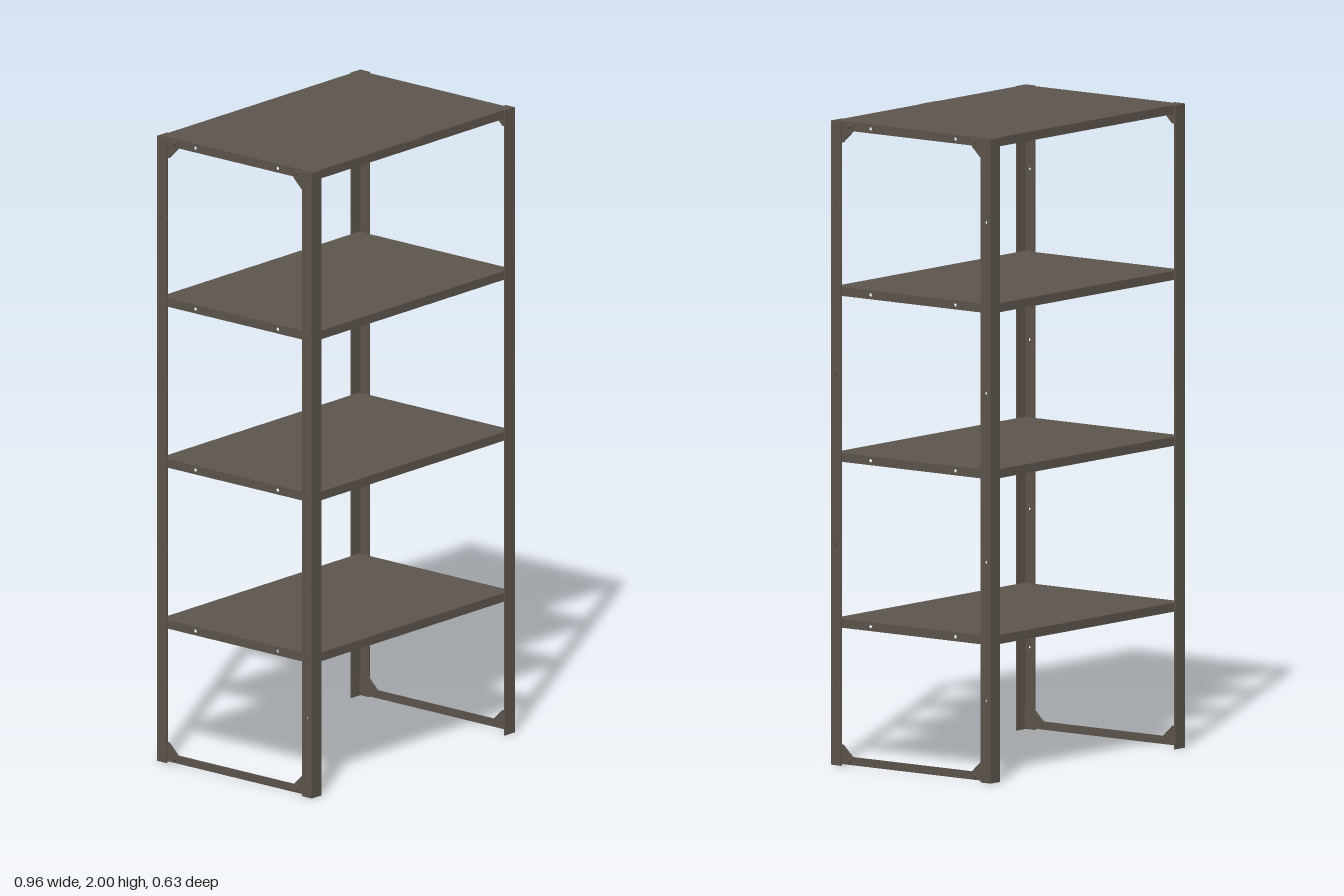
import * as THREE from 'three';

const steel = new THREE.MeshStandardMaterial({ color: 0x5e564d });
steel.name = 'bronze grey steel';

const T = 0.005;                               // sheet thickness
const X = 0.477, Z = 0.314;                    // outer faces of the posts
const SHELVES = [2, 1.485, 0.97, 0.455];       // top surface of each shelf
const HOLES = [1.74, 1.21, 0.685, 0.255];      // free holes in the posts

function add(parent, name, geometry, x = 0, y = 0, z = 0) {
  const mesh = new THREE.Mesh(geometry, steel);
  mesh.name = name;
  mesh.position.set(x, y, z);
  parent.add(mesh);
  return mesh;
}

const box = (w, h, d) => new THREE.BoxGeometry(w, h, d);

// Plate in the z-y plane, with round holes, growing towards +x
function sidePlate(points, holes = []) {
  const shape = new THREE.Shape(points.map(([z, y]) => new THREE.Vector2(-z, y)));
  for (const [z, y] of holes) {
    const hole = new THREE.Path();
    hole.absarc(-z, y, 0.005, 0, Math.PI * 2, true);
    shape.holes.push(hole);
  }
  return new THREE.ExtrudeGeometry(shape, { depth: T, bevelEnabled: false, curveSegments: 8 })
    .rotateY(Math.PI / 2);
}

function bolt(parent, y, z) {
  const head = new THREE.CylinderGeometry(0.007, 0.007, 0.015, 10).rotateZ(Math.PI / 2);
  add(parent, 'bolt', head, X - 0.0045, y, z);
}

// One end: two angle posts, a floor bar, corner gussets and bolts
function endFrame() {
  const frame = new THREE.Group();
  frame.name = 'endFrame';
  for (const s of [1, -1]) {
    const rim = [[s * 0.275, 0], [s * Z, 0], [s * Z, 2], [s * 0.275, 2]];
    add(frame, 'postSide', sidePlate(rim, HOLES.map(y => [s * 0.295, y])), X - T);
    add(frame, 'postFace', box(0.047, 2, T), X - 0.0235, 1, s * (Z - T / 2));

    // Gussets at the top and bottom corners
    for (const top of [false, true]) {
      const corner = [[0.308, 0.006], [0.235, 0.006], [0.235, 0.03], [0.272, 0.065], [0.308, 0.065]];
      const points = corner.map(([z, y]) => [s * z, top ? 2 - y : y]);
      add(frame, 'gusset', sidePlate(points), X - 2 * T - 0.001);
      bolt(frame, top ? 1.987 : 0.017, s * 0.247);
    }
    for (const y of [...SHELVES.map(v => v - 0.014), 0.035]) bolt(frame, y, s * 0.292);
  }
  add(frame, 'floorBar', box(T, 0.025, 0.62), X - T * 1.5, 0.0175, 0);
  return frame;
}

// Sheet tray with a folded edge and a narrow return lip
function shelf(top) {
  const tray = new THREE.Group();
  tray.name = 'shelf';
  tray.position.y = top;
  const w = 0.466, d = Z - T - 0.0005, h = 0.028, t = 0.003, lip = 0.014;
  add(tray, 'shelfTop', box(2 * w, t, 2 * d), 0, -t / 2, 0);
  const end = sidePlate([[-d, -h], [d, -h], [d, -t], [-d, -t]],
    [[0.167, -0.014], [-0.167, -0.014]]);
  for (const s of [1, -1]) {
    add(tray, 'longEdge', box(2 * w, h - t, t), 0, -(h + t) / 2, s * (d - t / 2));
    add(tray, 'longLip', box(2 * w - 0.01, t, lip), 0, -h + t / 2, s * (d - lip / 2));
    add(tray, 'shortEdge', end, s > 0 ? w - T : -w, 0, 0);
  }
  return tray;
}

export function createModel() {
  const model = new THREE.Group();
  model.name = 'shelvingUnit';

  const left = endFrame();
  const right = endFrame();
  right.rotation.y = Math.PI;
  model.add(left, right);

  for (const y of SHELVES) model.add(shelf(y));

  // Small blank plate in the middle of the top front edge
  add(model, 'frontPlate', box(0.084, 0.013, 0.005), 0, 1.993, Z - 0.002);
  return model;
}
